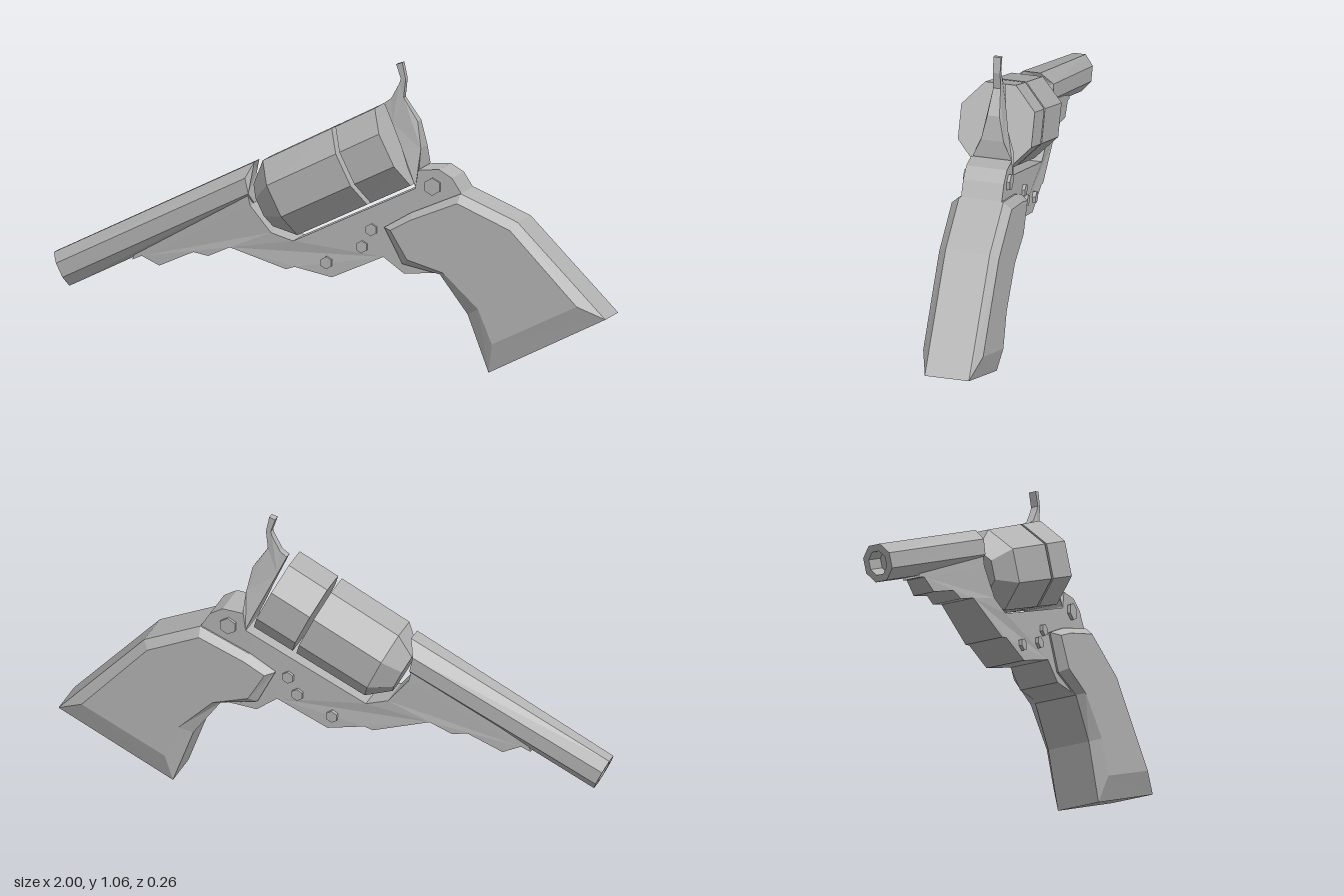
import * as THREE from 'three';

const steel = new THREE.MeshStandardMaterial({ color: 0xb4b4b4 });
steel.name = 'plain grey';

// Skin through rings of [u, v, w] points (counter-clockwise about w), capped at both ends
function loft(rings) {
  const pos = [];
  const tri = (a, b, c) => pos.push(...a, ...b, ...c);
  for (let i = 0; i < rings.length - 1; i++) {
    const lo = rings[i], hi = rings[i + 1];
    lo.forEach((a, j) => {
      const k = (j + 1) % lo.length;
      tri(a, lo[k], hi[j]);
      tri(lo[k], hi[k], hi[j]);
    });
  }
  const cap = (ring, flip) => {
    const flat = ring.map(p => new THREE.Vector2(p[0], p[1]));
    for (const [a, b, c] of THREE.ShapeUtils.triangulateShape(flat, [])) {
      if (flip) tri(ring[a], ring[c], ring[b]);
      else tri(ring[a], ring[b], ring[c]);
    }
  };
  cap(rings[0], true);
  cap(rings[rings.length - 1], false);
  const geo = new THREE.BufferGeometry();
  geo.setAttribute('position', new THREE.Float32BufferAttribute(pos, 3));
  geo.computeVertexNormals();
  return geo;
}

// Same, with the rings strung along local x
function loftX(rings) {
  const geo = loft(rings);
  const p = geo.attributes.position;
  for (let i = 0; i < p.count; i++) p.setXYZ(i, p.getZ(i), p.getX(i), p.getY(i));
  geo.computeVertexNormals();
  return geo;
}

// Side outline thickened by a half-width that may vary over the outline
function plate(outline, half) {
  return loft([-1, 1].map(s => outline.map(([x, y]) => [x, y, s * half(x, y)])));
}

// Octagonal ring; w may be a number or a function of height
function octagon(h, v, w, k = 0.42) {
  const c = [[1, k], [k, 1], [-k, 1], [-1, k], [-1, -k], [-k, -1], [k, -1], [1, -k]];
  return c.map(([a, b]) => [a * h, b * v, typeof w === 'function' ? w(a) : w]);
}

// Piecewise-linear interpolation through [t, value] stops
function ramp(stops, t) {
  if (t <= stops[0][0]) return stops[0][1];
  for (let i = 1; i < stops.length; i++) {
    const [t0, v0] = stops[i - 1], [t1, v1] = stops[i];
    if (t <= t1) return v0 + (v1 - v0) * (t - t0) / (t1 - t0);
  }
  return stops[stops.length - 1][1];
}

export function createModel() {
  const group = new THREE.Group();
  const tilt = 0.453;
  const add = (name, geo, x = 0, y = 0, z = 0, rot = 0) => {
    const mesh = new THREE.Mesh(geo, steel);
    mesh.name = name;
    mesh.position.set(x, y, z);
    mesh.rotation.z = rot;
    group.add(mesh);
    return mesh;
  };
  const off = -0.006;

  // Tapered octagonal barrel with a bore and an overhanging top flat
  add('barrel', loftX([
    octagon(0.04, 0.031, 0.1),
    octagon(0.04, 0.031, 0),
    octagon(0.064, 0.05, 0),
    octagon(0.064, 0.073, a => (a === 1 ? 0.805 : 0.757 + 0.015 * a)),
  ]), -0.972, 0.278, off, tilt);

  // Drum in two separate slices, chamfered at the front
  add('drumFront', loftX([
    octagon(0.08, 0.075, -0.525),
    octagon(0.142, 0.13, -0.45),
    octagon(0.145, 0.13, -0.173),
  ]), 0.23, 0.769, 0, tilt);
  add('drumRear', loftX([
    octagon(0.145, 0.13, -0.158),
    octagon(0.147, 0.13, 0),
  ]), 0.23, 0.769, 0, tilt);

  // Frame, thinning toward the front under the barrel
  add('frame', plate([
    [-0.715, 0.325], [-0.68, 0.34], [-0.615, 0.31], [-0.49, 0.365], [-0.435, 0.355],
    [-0.355, 0.39], [-0.15, 0.325], [-0.12, 0.335], [0.015, 0.305], [0.20, 0.385],
    [0.275, 0.33], [0.405, 0.34], [0.5, 0.4], [0.48, 0.62], [0.447, 0.672],
    [0.40, 0.70], [0.325, 0.695], [0.315, 0.63], [-0.125, 0.425], [-0.205, 0.45],
    [-0.28, 0.54], [-0.29, 0.58], [-0.7, 0.37],
  ], x => ramp([[-0.72, 0.03], [-0.3, 0.066], [-0.1, 0.072]], x)), 0, 0, off);

  // Hammer, flaring from a thin spur to a wide base
  add('hammer', plate([
    [0.315, 0.635], [0.327, 0.70], [0.325, 0.765], [0.308, 0.855], [0.255, 0.935],
    [0.262, 1.0], [0.25, 1.057], [0.228, 1.05], [0.245, 1.0], [0.24, 0.985],
    [0.21, 0.93], [0.185, 0.913], [0.217, 0.845], [0.255, 0.765], [0.285, 0.70],
  ], (x, y) => ramp([[0.63, 0.073], [0.7, 0.068], [0.77, 0.038], [0.85, 0.022], [0.92, 0.013]], y)),
  0, 0, off - 0.002);

  // Grip: outer outline with a raised, bevelled panel on each side
  const outer = [
    [0.205, 0.49], [0.27, 0.365], [0.405, 0.335], [0.505, 0.20], [0.58, 0],
    [1, 0.205], [0.685, 0.53], [0.48, 0.62], [0.30, 0.545],
  ];
  const inner = [
    [0.235, 0.485], [0.295, 0.385], [0.425, 0.345], [0.55, 0.225], [0.60, 0.104],
    [0.905, 0.25], [0.665, 0.505], [0.475, 0.59], [0.31, 0.525],
  ];
  const at = (pts, z) => pts.map(([x, y]) => [x, y, z]);
  add('grip', loft([at(inner, -0.106), at(outer, -0.078), at(outer, 0.078), at(inner, 0.106)]), 0, 0, off);

  // Hexagonal bolts showing on both sides of the frame
  for (const [x, y, r] of [[0.378, 0.64, 0.031], [0.158, 0.479, 0.022], [0.124, 0.418, 0.022], [-0.003, 0.356, 0.022]]) {
    const geo = new THREE.CylinderGeometry(r, r, 0.166, 6).rotateX(Math.PI / 2).toNonIndexed();
    geo.computeVertexNormals();
    add('bolt', geo, x, y, off);
  }
  return group;
}
